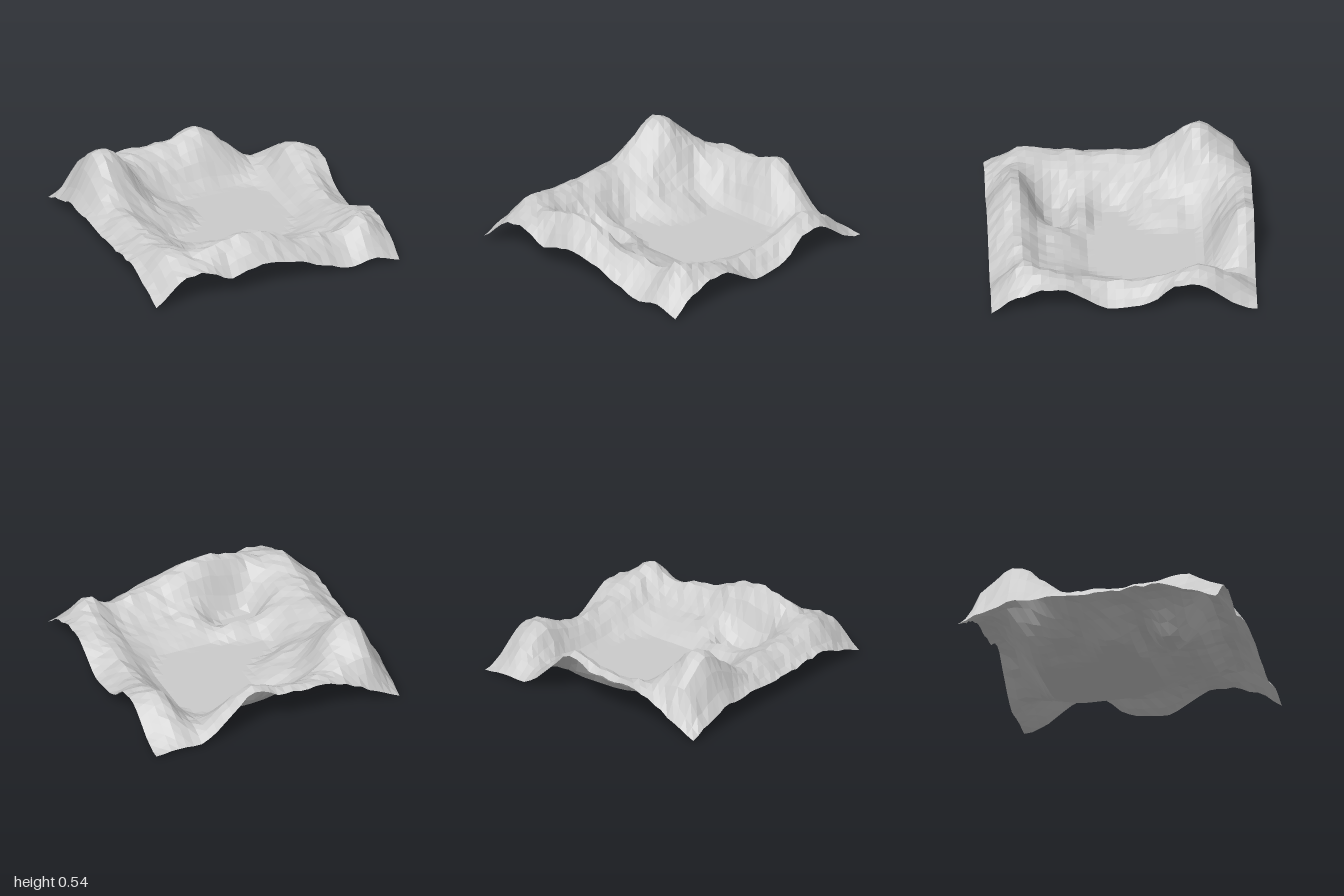
import * as THREE from 'three';

// Depth of each control row, back to front
const ROWS = [-1, -0.88, -0.6, -0.4, -0.2, 0, 0.15, 0.3, 0.46, 0.6, 0.76, 0.9, 1];
// Control heights in hundredths, columns evenly from x = -1 to 1.
// Negative values lie under the flat basin and pond floors.
const HEIGHTS = [
  [2, 12, 22, 28, 29, 30, 37, 20, 3, 3, 1],
  [7, 34, 32, 30, 29, 31, 36, 24, 9, 13, 4],
  [15, 53, 47, 18, 4, -1, -2, -1, 6, 29, 21],
  [16, 40, 32, 13, 6, -4, -5, -5, 2, 24, 22],
  [16, 27, 20, 11, 3, -5, -5, -5, 2, 18, 8],
  [15, 28, 17, -1, -5, -5, -5, -5, 2, 16, 4],
  [15, 27, 19, 2, -2, -5, -5, -4, 5, 16, 4],
  [16, 27, 20, 11, 9, 3, 3, 2, 8, 18, 13],
  [17, 28, 21, -5, -4, 11, 9, 8, 11, 23, 20],
  [16, 31, 25, 8, 11, 16, 13, 12, 14, 27, 20],
  [11, 31, 30, 36, 40, 36, 26, 25, 21, 32, 16],
  [6, 24, 27, 28, 33, 30, 24, 18, 12, 19, 9],
  [2, 19, 24, 15, 20, 20, 16, 9, 3, 7, 1],
];
const SEGMENTS = 32;

// Catmull-Rom through a list, t measured in list steps
function spline(list, t) {
  const last = list.length - 1;
  const i = Math.min(Math.floor(t), last - 1);
  const f = t - i;
  const at = (k) => list[Math.max(0, Math.min(last, k))];
  const [a, b, c, d] = [at(i - 1), at(i), at(i + 1), at(i + 2)];
  return b + 0.5 * f * (c - a + f * (2 * a - 5 * b + 4 * c - d + f * (3 * (b - c) + d - a)));
}

// Position of z among the control rows, in row steps
function rowStep(z) {
  const i = Math.max(1, ROWS.findIndex((r) => r >= z));
  return i - 1 + (z - ROWS[i - 1]) / (ROWS[i] - ROWS[i - 1]);
}

// Repeatable roughness in -1..1
function rough(i, j) {
  const s = Math.sin(i * 12.99 + j * 78.23) * 43758.55;
  return 2 * (s - Math.floor(s)) - 1;
}

function heightAt(x, z) {
  const u = (x + 1) * 5;
  const h = spline(HEIGHTS.map((row) => spline(row, u)), rowStep(z)) / 100;
  const i = Math.round((x + 1) * SEGMENTS / 2);
  const j = Math.round((z + 1) * SEGMENTS / 2);
  const grain = 0.012 * Math.min(1, Math.max(0, h) / 0.15);
  return Math.max(0, h + grain * rough(i, j));
}

export function createModel() {
  const group = new THREE.Group();
  group.name = 'landscape';

  // Hills around a flat basin and a small pond, as one open faceted sheet
  const geometry = new THREE.PlaneGeometry(2, 2, SEGMENTS, SEGMENTS);
  geometry.rotateX(-Math.PI / 2).rotateY(Math.PI / 2);
  const p = geometry.attributes.position;
  for (let k = 0; k < p.count; k++) {
    const x = THREE.MathUtils.clamp(p.getX(k), -1, 1);
    const z = THREE.MathUtils.clamp(p.getZ(k), -1, 1);
    p.setXYZ(k, x, heightAt(x, z), z);
  }
  geometry.computeVertexNormals();

  const terrain = new THREE.Mesh(geometry, new THREE.MeshStandardMaterial({
    color: 0xcccccc, flatShading: true, side: THREE.DoubleSide,
  }));
  terrain.name = 'terrain';
  group.add(terrain);
  return group;
}
